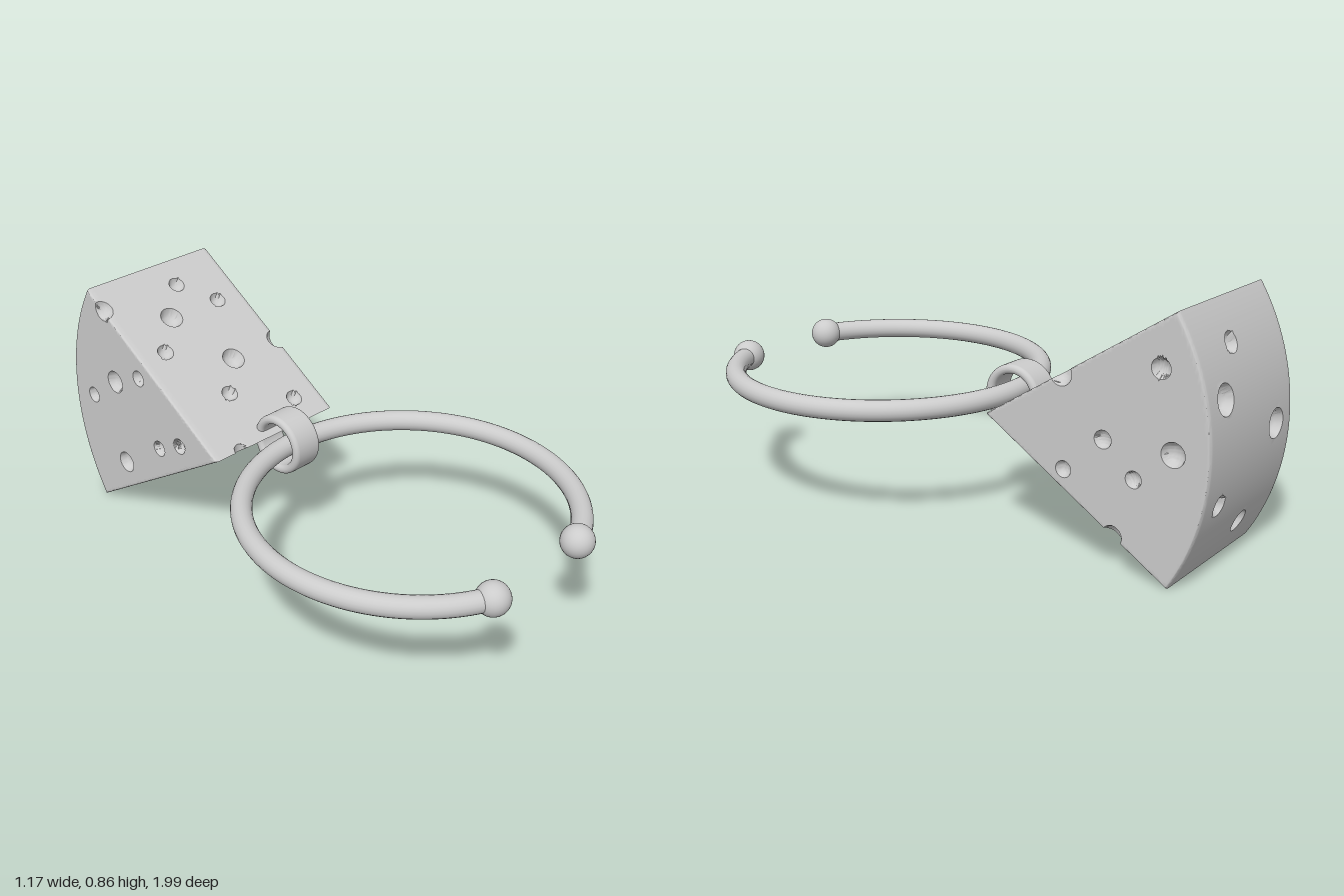
import * as THREE from 'three';
import { toCreasedNormals } from 'three/addons/utils/BufferGeometryUtils.js';

const material = new THREE.MeshStandardMaterial({ color: 0xcccccc });
const MID_Y = 0.43, APEX_Z = -0.2, RADIUS = 0.8, HALF = 0.567;
const LEFT = 0.27, RIGHT = -0.285;

function addMesh(parent, name, geometry, x = 0, y = 0, z = 0) {
  const mesh = new THREE.Mesh(geometry, material);
  mesh.name = name;
  mesh.position.set(x, y, z);
  parent.add(mesh);
  return mesh;
}

// Round hollows in the wedge: centre, radius and the direction they are pressed in
function makeHoles() {
  const holes = [];
  const add = (x, y, z, r, dx, dy, dz) => holes.push({
    c: new THREE.Vector3(x, y, z), r, d: new THREE.Vector3(dx, dy, dz).normalize(),
  });
  const cos = Math.cos(HALF), sin = Math.sin(HALF), slope = sin / cos;
  // side: +1 upper sloping face, -1 lower one; ex pushes edge hollows sideways
  const sloped = (side, x, z, r, ex = 0) =>
    add(x, MID_Y + side * (APEX_Z - z) * slope, z, r, ex, -side * cos, -sin);

  for (const [x, z, r, ex] of [
    [-0.06, -0.685, 0.042], [0.05, -0.785, 0.03], [0.16, -0.685, 0.03],
    [-0.175, -0.585, 0.03], [0.05, -0.48, 0.042], [-0.06, -0.38, 0.03],
    [0.16, -0.28, 0.03], [LEFT, -0.485, 0.04, -1], [RIGHT, -0.79, 0.04, 1],
  ]) sloped(1, x, z, r, ex);

  for (const [x, z, r, ex] of [
    [-0.175, -0.396, 0.038], [0.05, -0.49, 0.033], [0.05, -0.685, 0.042],
    [-0.175, -0.78, 0.03], [0.16, -0.78, 0.03], [0.06, -0.295, 0.03],
    [LEFT, -0.68, 0.036, -1],
  ]) sloped(-1, x, z, r, ex);

  // Tip edge
  add(-0.17, MID_Y, APEX_Z, 0.028, 0, 0, -1);

  // Flat left and right faces
  for (const [z, y, r] of [
    [-0.83, 0.685, 0.033], [-0.88, 0.43, 0.04], [-0.64, 0.43, 0.03],
    [-0.5, 0.305, 0.028], [-0.75, 0.325, 0.028],
  ]) add(LEFT, y, z, r, -1, 0, 0);
  for (const [z, y, r] of [
    [-0.61, 0.6, 0.03], [-0.75, 0.535, 0.042], [-0.89, 0.43, 0.03],
    [-0.72, 0.21, 0.04], [-0.515, 0.353, 0.03], [-0.4, 0.41, 0.03],
  ]) add(RIGHT, y, z, r, 1, 0, 0);

  // Curved back
  for (const [x, y, r] of [
    [0.05, 0.735, 0.035], [0.155, 0.59, 0.05], [-0.175, 0.435, 0.05],
    [0.16, 0.26, 0.035], [-0.065, 0.13, 0.04],
  ]) {
    const dy = y - MID_Y, dz = -Math.sqrt(RADIUS * RADIUS - dy * dy);
    add(x, y, APEX_Z + dz, r, 0, -dy, -dz);
  }
  return holes;
}

// Moves a surface point inside a hollow onto the wall of its bowl
function press(p, holes) {
  const q = new THREE.Vector3();
  for (const { c, r, d } of holes) {
    q.subVectors(p, c);
    const m = q.length() / r;
    if (m > 1.16) continue;
    if (m > 0.84) {
      q.setLength(r); // gather points on a clean rim
    } else {
      const along = q.dot(d);
      q.addScaledVector(d, 0.85 * (-along + Math.sqrt(along * along + r * r - q.lengthSq())));
    }
    p.addVectors(c, q);
  }
}

function wedgeGeometry() {
  const n = 90, centreZ = -0.7, bevel = 0.015;
  // Sector outline as [z, y]: lower slope, curved back, upper slope
  const outline = [];
  const polar = (r, a) => outline.push([APEX_Z - r * Math.cos(a), MID_Y + r * Math.sin(a)]);
  for (let i = 0; i < n; i++) polar(RADIUS * i / n, -HALF);
  for (let i = 0; i < n; i++) polar(RADIUS, HALF * (2 * i / n - 1));
  for (let i = 0; i <= n; i++) polar(RADIUS * (1 - i / n), HALF);

  // Rows as [x, scale]: right face, soft edge, body, soft edge, left face
  const rows = [], capRows = 52, bodyRows = 56, inset = 0.018;
  for (let j = 0; j < capRows; j++) rows.push([RIGHT, (1 - inset) * j / capRows]);
  const soft = (end, dir, k) => {
    const a = k * Math.PI / 8;
    rows.push([end + dir * bevel * (1 - Math.cos(a)), 1 - inset * (1 - Math.sin(a))]);
  };
  for (let k = 0; k < 4; k++) soft(RIGHT, 1, k);
  for (let j = 0; j <= bodyRows; j++) {
    rows.push([THREE.MathUtils.lerp(RIGHT + bevel, LEFT - bevel, j / bodyRows), 1]);
  }
  for (let k = 3; k >= 0; k--) soft(LEFT, -1, k);
  for (let j = capRows - 1; j >= 0; j--) rows.push([LEFT, (1 - inset) * j / capRows]);

  const holes = makeHoles(), positions = [], index = [], p = new THREE.Vector3();
  const w = outline.length;
  rows.forEach(([x, s], j) => outline.forEach(([z, y], i) => {
    p.set(x, MID_Y + (y - MID_Y) * s, centreZ + (z - centreZ) * s);
    press(p, holes);
    positions.push(p.x, p.y, p.z);
    if (j < rows.length - 1 && i < w - 1) {
      const a = j * w + i;
      index.push(a, a + 1, a + w, a + 1, a + w + 1, a + w);
    }
  }));
  const geometry = new THREE.BufferGeometry();
  geometry.setAttribute('position', new THREE.Float32BufferAttribute(positions, 3));
  geometry.setIndex(index);
  return toCreasedNormals(geometry, 0.75);
}

// Closed band with a rounded-rectangle section, axis along x
function bandGeometry(inner, outer, width, round) {
  const profile = [];
  const corners = [[outer, 1, 0], [inner, 1, 1], [inner, -1, 2], [outer, -1, 3]];
  for (const [r, side, quarter] of corners) {
    const cx = r === outer ? r - round : r + round, cy = side * (width / 2 - round);
    for (let k = 0; k <= 6; k++) {
      const a = (quarter + k / 6) * Math.PI / 2;
      profile.push(new THREE.Vector2(cx + round * Math.cos(a), cy + round * Math.sin(a)));
    }
  }
  profile.push(profile[0].clone());
  return new THREE.LatheGeometry(profile, 64).rotateZ(Math.PI / 2);
}

export function createModel() {
  const group = new THREE.Group();
  group.name = 'cheeseCharm';

  addMesh(group, 'cheeseWedge', wedgeGeometry());

  // Open ring lying flat, with a ball on each end
  const ringY = 0.425, ringZ = 0.43, ringR = 0.55, gap = 0.39;
  const ring = new THREE.TorusGeometry(ringR, 0.036, 20, 120, Math.PI * 2 - 2 * gap);
  ring.rotateZ(Math.PI / 2 + gap).rotateX(Math.PI / 2);
  addMesh(group, 'openRing', ring, 0, ringY, ringZ);
  for (const side of [-1, 1]) {
    addMesh(group, side > 0 ? 'leftEndBall' : 'rightEndBall', new THREE.SphereGeometry(0.056, 32, 20),
      side * ringR * Math.sin(gap), ringY, ringZ + ringR * Math.cos(gap));
  }

  // Small loop joining the ring and the wedge
  addMesh(group, 'connectingLoop', bandGeometry(0.077, 0.109, 0.116, 0.0155), 0, 0.424, -0.15);
  return group;
}
